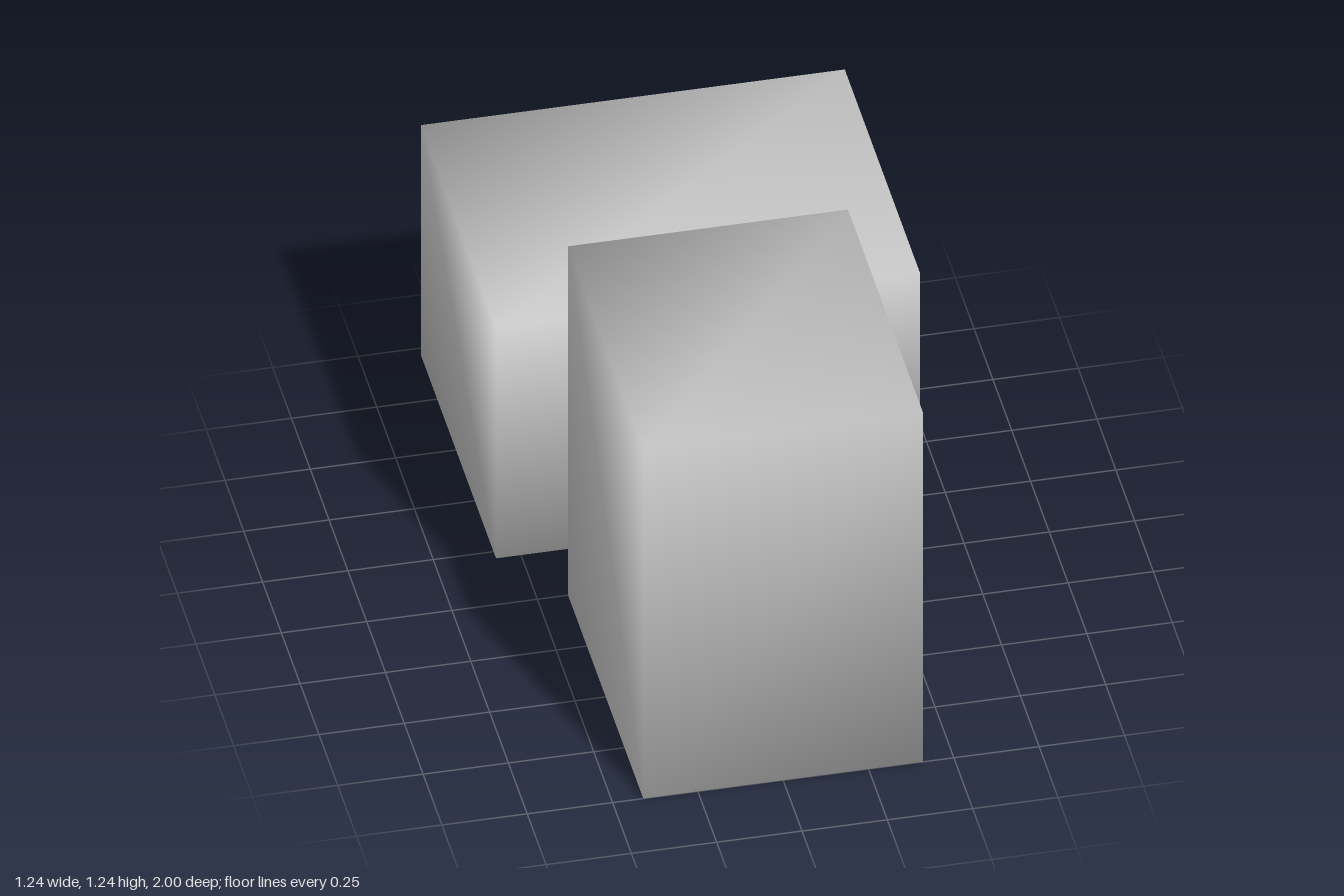
import * as THREE from 'three';

const material = new THREE.MeshStandardMaterial({ color: 0xcccccc });

// Six quads over eight shared corners (corner number = x + 2y + 4z)
const QUADS = [
  [4, 5, 7, 6], // front
  [1, 0, 2, 3], // back
  [2, 0, 4, 6], // right
  [7, 5, 1, 3], // left
  [6, 7, 3, 2], // top
  [0, 1, 5, 4], // bottom
];

// Block whose faces share corners, so the shading runs smoothly over its edges
function softBlock(name, halfWidth, y0, y1, z0, z1) {
  const corners = [];
  for (const z of [z0, z1])
    for (const y of [y0, y1])
      for (const x of [-halfWidth, halfWidth]) corners.push(x, y, z);
  const geometry = new THREE.BufferGeometry();
  geometry.setAttribute('position', new THREE.Float32BufferAttribute(corners, 3));
  geometry.setIndex(QUADS.flatMap(([a, b, c, d]) => [a, b, c, a, c, d]));
  geometry.computeVertexNormals();
  const mesh = new THREE.Mesh(geometry, material);
  mesh.name = name;
  return mesh;
}

export function createModel() {
  const model = new THREE.Group();
  model.name = 'twoBlocks';
  // Tall block in front, wide low block behind it
  model.add(softBlock('frontBlock', 0.41, 0, 1.243, 0, 1));
  model.add(softBlock('rearBlock', 0.621, 0.165, 0.984, -1, 0));
  return model;
}
